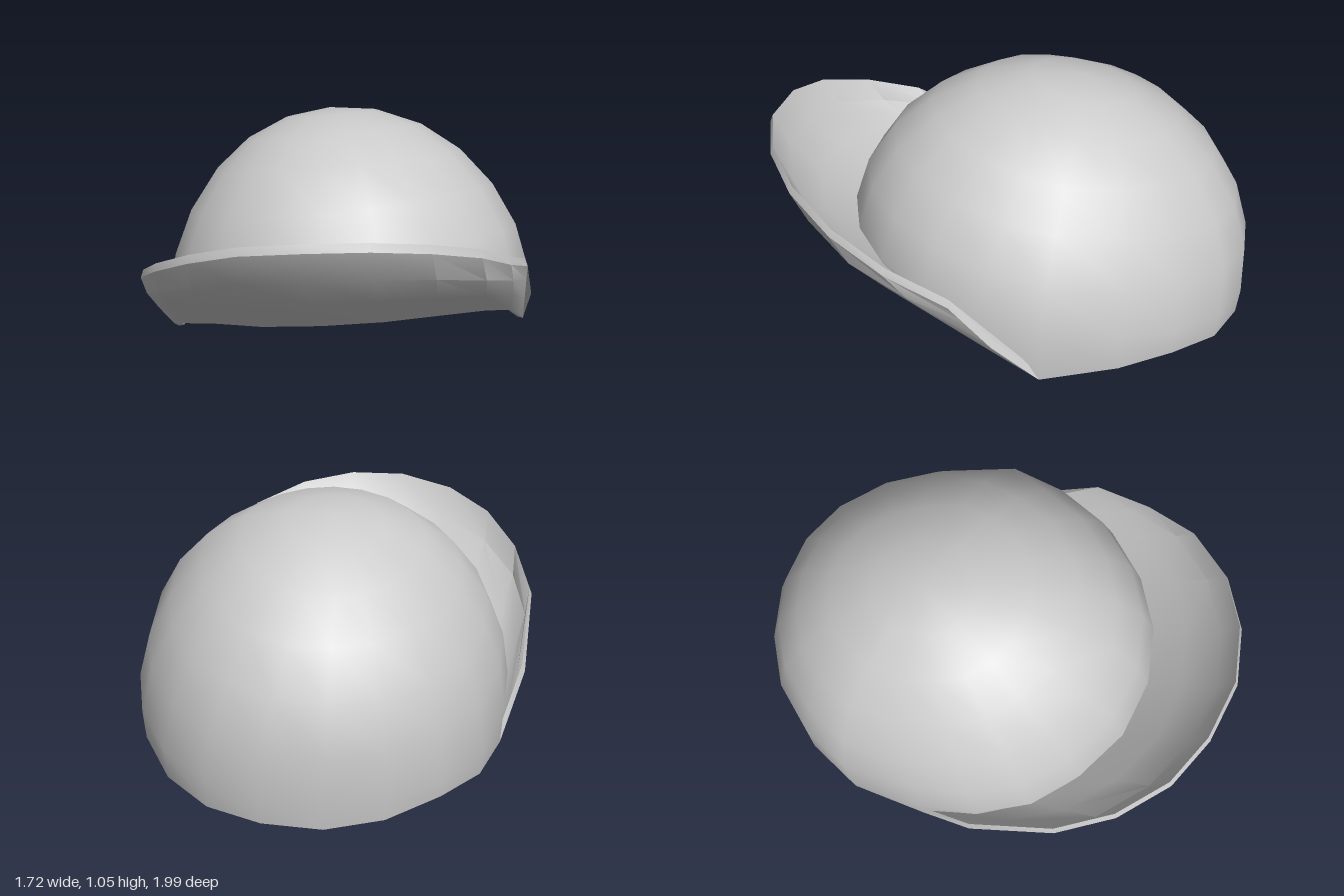
import * as THREE from 'three';
import { mergeVertices, toCreasedNormals } from 'three/addons/utils/BufferGeometryUtils.js';

const V = (x, y, z) => new THREE.Vector3(x, y, z);

// Skin rows of points into quads, skipping collapsed triangles.
function skin(rows, closed) {
  const pos = [];
  const tri = (a, b, c) => {
    if (a.distanceTo(b) < 1e-5 || b.distanceTo(c) < 1e-5 || a.distanceTo(c) < 1e-5) return;
    for (const p of [a, b, c]) pos.push(p.x, p.y, p.z);
  };
  for (let r = 0; r + 1 < rows.length; r++) {
    const lo = rows[r], hi = rows[r + 1], n = lo.length;
    for (let c = 0; c < (closed ? n : n - 1); c++) {
      const k = (c + 1) % n;
      tri(lo[c], hi[c], hi[k]);
      tri(lo[c], hi[k], lo[k]);
    }
  }
  const g = new THREE.BufferGeometry();
  g.setAttribute('position', new THREE.Float32BufferAttribute(pos, 3));
  return g;
}

function smooth(geometry) {
  const g = mergeVertices(geometry, 1e-4);
  g.computeVertexNormals();
  return g;
}

// Widest loop of the crown (x, z), from the back round by the left side.
const LOOP = [
  [0.12, -0.985], [0.36, -0.95], [0.57, -0.845], [0.73, -0.67], [0.83, -0.43],
  [0.855, -0.18], [0.82, 0.15], [0.68, 0.36], [0.5, 0.53], [0.27, 0.64],
  [0.03, 0.68], [-0.21, 0.64], [-0.43, 0.52], [-0.59, 0.33], [-0.69, 0.12],
  [-0.71, -0.12], [-0.66, -0.36], [-0.53, -0.66], [-0.35, -0.83], [-0.12, -0.95],
];
// Height of the lower rim below each point of the loop.
const RIM_Y = [0, 0.015, 0.035, 0.075, 0.135, 0.14, 0.14, 0.27, 0.345, 0.385,
  0.395, 0.385, 0.355, 0.31, 0.24, 0.15, 0.04, 0.05, 0.045, 0.015];
// Free edge of the brim, from the left corner to the right corner.
const BRIM_EDGE = [
  [0.77, 0.36, 0.33], [0.69, 0.54, 0.48], [0.54, 0.63, 0.69], [0.36, 0.73, 0.86],
  [0.13, 0.8, 0.965], [-0.11, 0.835, 0.995], [-0.35, 0.835, 0.955], [-0.57, 0.8, 0.83],
  [-0.73, 0.73, 0.67], [-0.83, 0.63, 0.45], [-0.86, 0.52, 0.2], [-0.78, 0.3, -0.15],
];

export function createModel() {
  const group = new THREE.Group();
  const add = (name, geometry, flat = false) => {
    const mesh = new THREE.Mesh(geometry, new THREE.MeshStandardMaterial({
      color: 0xcccccc, flatShading: flat, side: THREE.DoubleSide,
    }));
    mesh.name = name;
    group.add(mesh);
  };

  // Crown: a tilted half ellipsoid above the loop, with a short wall down to the rim
  const centre = V(0.07, 0.28, -0.16), pole = V(-0.03, 0.75, -0.14);
  const equator = LOOP.map(([x, z]) => V(x, 0.28 + 0.21 * (z + 0.16) + 0.04 * (x - 0.07), z));
  const scaled = (p, s) => V(centre.x + (p.x - centre.x) * s, p.y, centre.z + (p.z - centre.z) * s);
  const rim = equator.map((p, i) => {
    const q = scaled(p, 0.985);
    q.y = RIM_Y[i];
    return q;
  });
  const ring = (deg, size = 1) => {
    const a = THREE.MathUtils.degToRad(deg);
    const narrow = V(1 - 0.04 * Math.sin(2 * a), 1, 1);
    return equator.map((p) => centre.clone()
      .addScaledVector(p.clone().sub(centre).multiply(narrow), Math.cos(a) * size)
      .addScaledVector(pole, Math.sin(a) * size));
  };
  const apex = (size) => equator.map(() => centre.clone().addScaledVector(pole, size));
  const outer = [0, 15, 30, 45, 60, 75].map((deg) => ring(deg));
  add('crown', smooth(skin([rim, ...outer, apex(1)], true)));

  // Lining: faceted walls with the narrow rim edge, and a smooth vault above them
  const inner = rim.map((p) => scaled(p, 0.97).add(V(0, 0.005, 0)));
  const vault = [75, 60, 45, 32].map((deg) => ring(deg, 0.96));
  add('liningWall', skin([vault[3], inner, rim], true), true);
  add('liningVault', smooth(skin([apex(0.96), ...vault], true)));

  // Brim: upturned, dished plate between the front of the rim and its free edge
  const root = [6, 6, 6, 7, 8, 9, 10, 11, 12, 13, 14, 15, 16, 16].map((i) => rim[i]);
  const edge = [rim[6], ...BRIM_EDGE.map((p) => V(...p)), rim[16]];
  const section = [[0, 0], [0.4, 0], [0.75, 0], [1, 0], [1, 1], [0.75, 1], [0.4, 1], [0, 1]];
  const brimRows = section.map(([t, upper]) => root.map((p, i) => {
    const q = p.clone().lerp(edge[i], t);
    const span = p.distanceTo(edge[i]);
    // the dish fades out towards both corners
    const dish = Math.max(0, Math.min(1, (i - 2) / 2, (12 - i) / 2));
    const bulge = 0.35 * span * t * t * (1 - t) * dish;
    const out = V(q.x - centre.x, 0, q.z - centre.z).normalize();
    const thick = span > 0.01 ? 0.032 : 0;
    q.addScaledVector(out, bulge - upper * thick * 0.4);
    q.y += -bulge - (1 - upper) * thick * t + upper * thick * (1 - t);
    return q;
  }));
  add('brim', toCreasedNormals(skin(brimRows, false), 0.45));

  return group;
}
